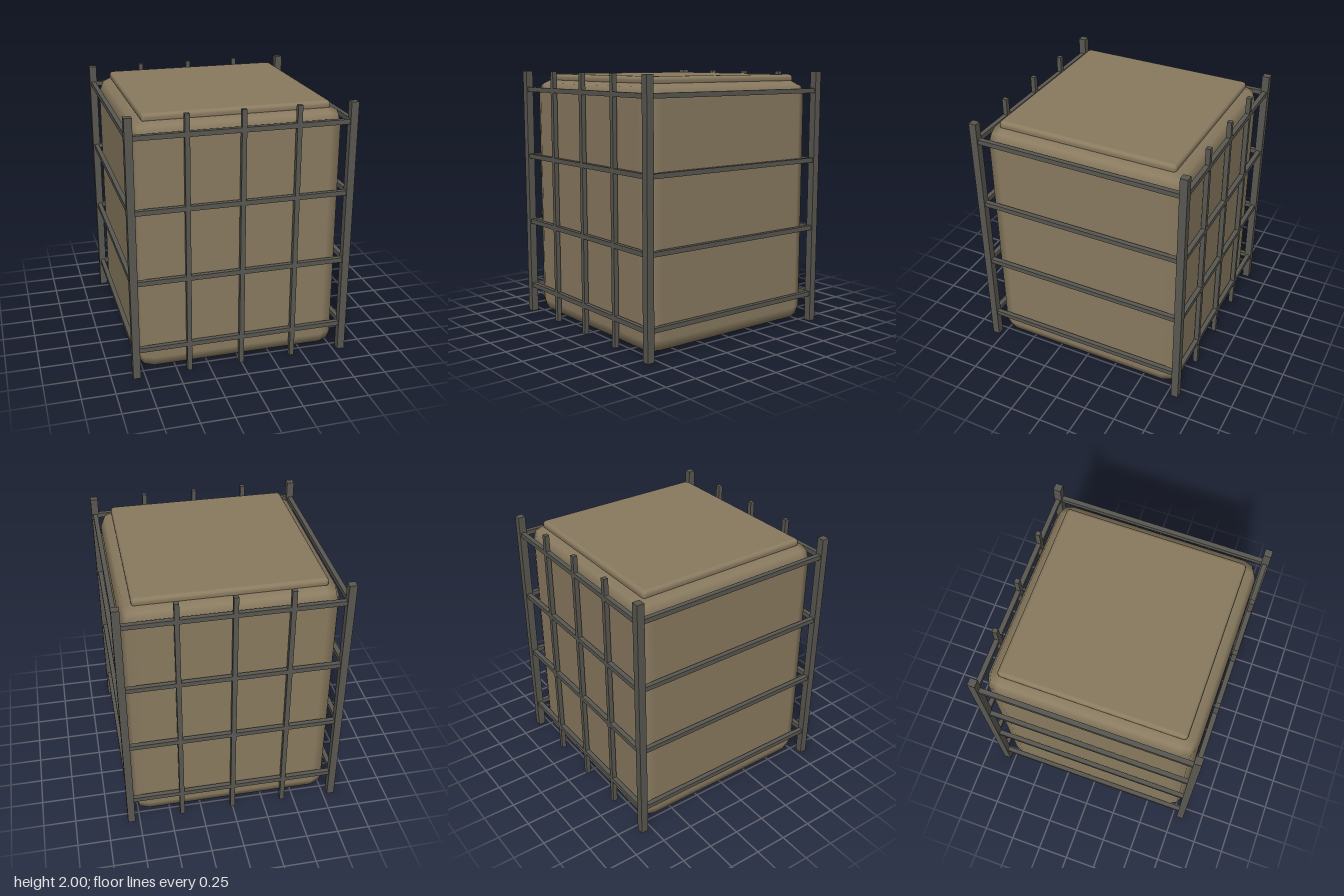
import * as THREE from 'three';
import { RoundedBoxGeometry } from 'three/addons/geometries/RoundedBoxGeometry.js';

const plastic = new THREE.MeshStandardMaterial({ color: 0x8a7b60 });
plastic.name = 'tan tank';
const metal = new THREE.MeshStandardMaterial({ color: 0x5a5851 });
metal.name = 'grey metal';

export function createModel() {
  const model = new THREE.Group();
  model.name = 'cagedTank';

  const add = (name, geometry, material, x, y, z) => {
    const mesh = new THREE.Mesh(geometry, material);
    mesh.name = name;
    mesh.position.set(x, y, z);
    model.add(mesh);
  };

  // Tank with chamfer-like rounded edges, and a thin raised lid
  add('tankBody', new RoundedBoxGeometry(1.57, 1.94, 1.57, 1, 0.12), plastic, 0, 0.972, 0);
  add('tankLid', new RoundedBoxGeometry(1.39, 0.07, 1.39, 2, 0.03), plastic, 0, 1.945, 0);

  const edge = 0.815; // centre line of the cage walls
  const bar = 0.036;

  // Corner posts
  const post = new THREE.BoxGeometry(0.057, 2, 0.057);
  for (const x of [-edge, edge])
    for (const z of [-edge, edge]) add('cornerPost', post, metal, x, 1, z);

  // Horizontal rails on all four sides
  const railX = new THREE.BoxGeometry(edge * 2, bar, bar);
  const railZ = new THREE.BoxGeometry(bar, bar, edge * 2);
  for (let i = 0; i < 4; i++) {
    const y = 0.225 + i * 0.543;
    for (const s of [-edge, edge]) {
      add('crossRail', railX, metal, 0, y, s);
      add('sideRail', railZ, metal, s, y, 0);
    }
  }

  // Upright bars on the front and back only
  const upright = new THREE.BoxGeometry(bar, 2, bar);
  for (const x of [-0.407, 0, 0.407])
    for (const z of [-edge, edge]) add('uprightBar', upright, metal, x, 1, z);

  return model;
}
